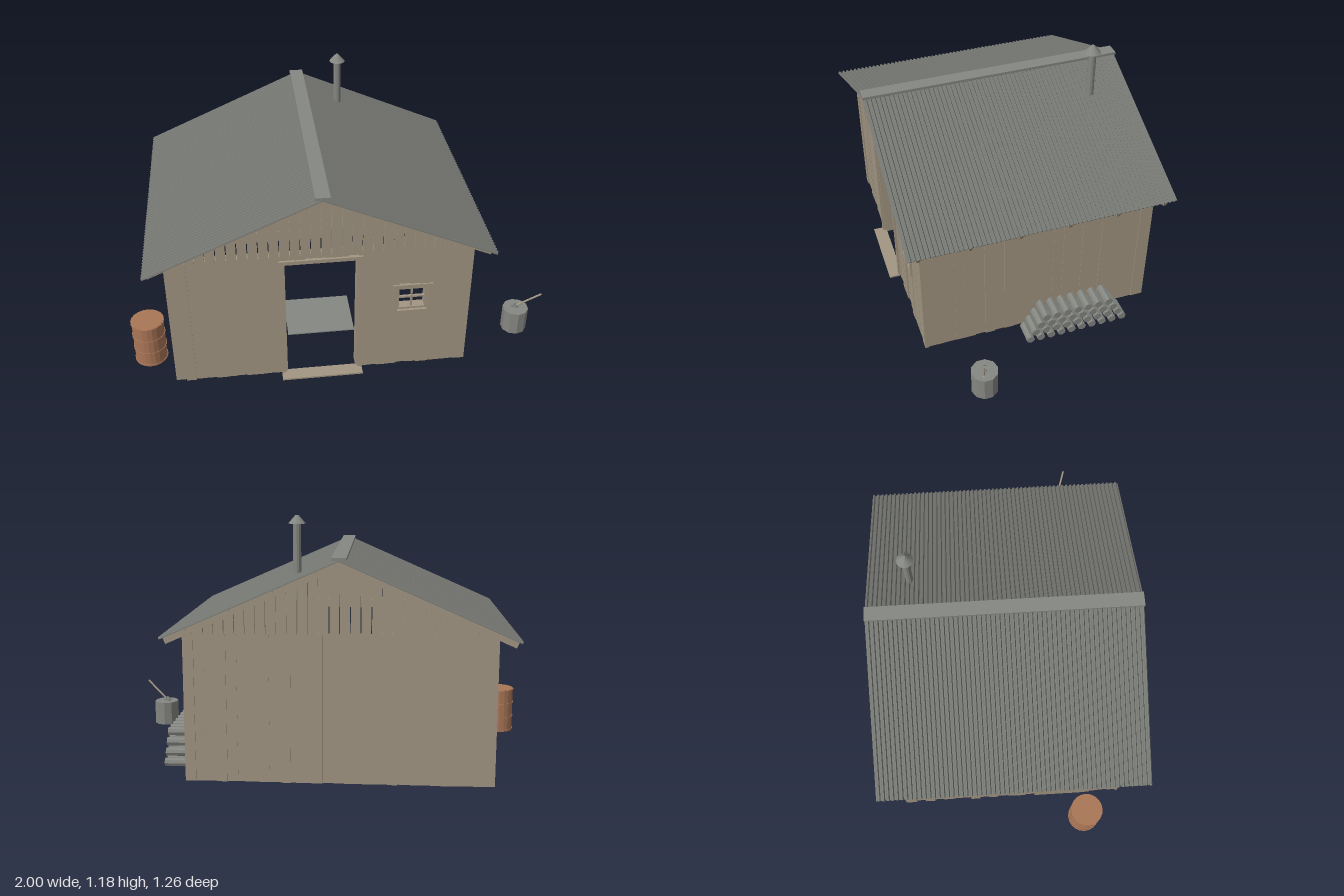
import * as THREE from 'three';

const mat = (name, color) => Object.assign(new THREE.MeshStandardMaterial({ color }), { name });

export function createModel() {
  const wood = mat('weathered wood', 0xa29582);
  const grey = mat('aged grey', 0x858782);
  const metal = mat('corrugated metal', 0x777974);
  const rust = mat('rusty steel', 0xaa7657);

  const root = new THREE.Group();
  root.name = 'cabin';
  let seed = 7;
  const rnd = () => (seed = (seed * 16807) % 2147483647) / 2147483647;

  const group = (name, parent = root) => {
    const g = new THREE.Group();
    g.name = name;
    parent.add(g);
    return g;
  };
  const add = (parent, name, geo, m) => {
    const mesh = new THREE.Mesh(geo, m);
    mesh.name = name;
    parent.add(mesh);
    return mesh;
  };
  // box given by its minimum and maximum corners
  const box = (parent, name, m, x0, x1, y0, y1, z0, z1) => {
    const mesh = add(parent, name, new THREE.BoxGeometry(x1 - x0, y1 - y0, z1 - z0), m);
    mesh.position.set((x0 + x1) / 2, (y0 + y1) / 2, (z0 + z1) / 2);
    return mesh;
  };
  // faceted cylinder standing on y
  const cyl = (parent, name, m, rTop, rBot, y0, y1, x, z, sides) => {
    const geo = new THREE.CylinderGeometry(rTop, rBot, y1 - y0, sides).toNonIndexed();
    geo.computeVertexNormals();
    const mesh = add(parent, name, geo, m);
    mesh.position.set(x, (y0 + y1) / 2, z);
    return mesh;
  };
  // remove rectangular openings from a rectangle [x0, x1, y0, y1]
  const cut = (r, holes) => {
    const h = holes.find((o) => o[0] < r[1] - 1e-4 && o[1] > r[0] + 1e-4 && o[2] < r[3] - 1e-4 && o[3] > r[2] + 1e-4);
    if (!h) return [r];
    const a = Math.max(r[0], h[0]), b = Math.min(r[1], h[1]);
    return [[r[0], a, r[2], r[3]], [b, r[1], r[2], r[3]], [a, b, r[2], h[2]], [a, b, h[3], r[3]]]
      .filter((q) => q[1] - q[0] > 1e-3 && q[3] - q[2] > 1e-3)
      .flatMap((q) => cut(q, holes));
  };

  const CX = -0.108, HX = 0.69, HZ = 0.56, WALL = 0.68, RIDGE = 1.0, SLOPE = 0.44;

  // wall: upright boards outside, level planks inside, frame between; local +z is outward
  const wall = (name, half, depth, angle, holes) => {
    const g = group(name);
    g.position.x = CX;
    g.rotation.y = angle;
    const n = Math.round((2 * half) / 0.047), w = (2 * half) / n;
    for (let i = 0; i < n; i++) {
      const t = 0.004 + rnd() * 0.01;
      for (const r of cut([-half + i * w, -half + (i + 1) * w, 0, WALL], holes))
        box(g, 'outerBoard', wood, ...r, depth - 0.016, depth - 0.012 + t);
    }
    const inner = half - 0.05;
    for (let j = 0; j < 11; j++)
      for (const r of cut([-inner, inner, 0.02 + j * 0.06, 0.072 + j * 0.06], holes))
        box(g, 'innerPlank', wood, ...r, depth - 0.056, depth - 0.046);
    for (const y of [0, 0.64])
      for (const r of cut([-half + 0.012, half - 0.012, y, y + 0.03], holes))
        box(g, 'frameBeam', wood, ...r, depth - 0.046, depth - 0.016);
    box(g, 'cornerPost', wood, half - 0.06, half - 0.02, 0, WALL, depth - 0.06, depth - 0.02);
    return g;
  };
  // four trim strips round an opening
  const frame = (g, name, [x0, x1, y0, y1], t, z0, z1, sill = true) => {
    box(g, name, wood, x0 - t, x0, y0 - (sill ? t : 0), y1 + t, z0, z1);
    box(g, name, wood, x1, x1 + t, y0 - (sill ? t : 0), y1 + t, z0, z1);
    box(g, name, wood, x0, x1, y1, y1 + t, z0, z1);
    if (sill) box(g, name, wood, x0, x1, y0 - t, y0, z0, z1);
  };

  const door = [-0.28 - CX, 0.06 - CX, 0, 0.64];
  const pane = [0.24 - CX, 0.38 - CX, 0.33, 0.455];
  const sideHole = [-0.19, 0.05, 0.285, 0.465];

  // front wall with doorway and small window
  const front = wall('frontWall', HX, HZ, 0, [door, pane]);
  frame(front, 'doorTrim', door, 0.018, HZ - 0.01, HZ + 0.01, false);
  frame(front, 'doorJamb', [door[0] + 0.008, door[1] - 0.008, 0, 0.632], 0.008, HZ - 0.058, HZ, false);
  box(front, 'doorstep', wood, door[0] - 0.02, door[1] + 0.02, 0, 0.008, HZ - 0.01, HZ + 0.055);
  frame(front, 'windowTrim', pane, 0.022, HZ - 0.01, HZ + 0.008);
  frame(front, 'windowSash', [pane[0] + 0.01, pane[1] - 0.01, pane[2] + 0.01, pane[3] - 0.01], 0.01, HZ - 0.05, HZ - 0.005);
  box(front, 'windowBar', wood, 0.306 - CX, 0.314 - CX, pane[2], pane[3], HZ - 0.025, HZ - 0.012);
  box(front, 'windowBar', wood, pane[0], pane[1], 0.389, 0.397, HZ - 0.025, HZ - 0.012);

  wall('backWall', HX, HZ, Math.PI, []);
  wall('leftWall', HZ - 0.012, HX, Math.PI / 2, []);

  // right wall with a boarded-up window
  const right = wall('rightWall', HZ - 0.012, HX, -Math.PI / 2, [sideHole]);
  frame(right, 'windowTrim', sideHole, 0.02, HX - 0.012, HX + 0.008);
  frame(right, 'windowLining', [sideHole[0] + 0.008, sideHole[1] - 0.008, sideHole[2] + 0.008, sideHole[3] - 0.008], 0.008, HX - 0.056, HX - 0.01);
  [[0.435, 0.06], [0.375, -0.42], [0.325, 0.14]].forEach(([y, a], i) => {
    const b = box(right, 'nailedBoard', wood, -0.21, 0.07, y - 0.02, y + 0.02, HX + 0.008, HX + 0.016 + i * 0.002);
    b.rotation.z = a;
  });

  // gable boards cut to the roof line
  for (const side of [1, -1]) {
    const g = group(side > 0 ? 'frontGable' : 'backGable');
    g.position.set(CX, 0, side * 0.555);
    const n = 30, w = (2 * HX) / n;
    const top = (x) => Math.max(WALL + 0.001, RIDGE - 0.004 - SLOPE * Math.abs(x));
    for (let i = 0; i < n; i++) {
      const a = -HX + i * w, b = a + w - 0.004;
      const s = new THREE.Shape([[a, WALL - 0.005], [b, WALL - 0.005], [b, top(b)], [a, top(a)]].map((p) => new THREE.Vector2(...p)));
      const t = 0.012 + rnd() * 0.006;
      const m = add(g, 'gableBoard', new THREE.ExtrudeGeometry(s, { depth: t, bevelEnabled: false }), wood);
      m.position.z = side > 0 ? 0 : -t;
    }
  }

  // roof: two equal slopes of corrugated sheet on rafters and purlins
  const L = 0.775 * Math.hypot(1, SLOPE), waves = 60, p = 1.26 / waves;
  const wavePts = [];
  for (let i = 0; i < waves; i++)
    for (const [f, h] of [[0, 0], [0.3, 0], [0.5, 1], [0.8, 1]]) wavePts.push([-0.63 + (i + f) * p, h * 0.008]);
  wavePts.push([0.63, 0]);
  const sheetShape = new THREE.Shape([
    ...wavePts.map(([x, y]) => new THREE.Vector2(x, y)),
    ...wavePts.reverse().map(([x, y]) => new THREE.Vector2(x, y + 0.003)),
  ]);
  const sheetGeo = new THREE.ExtrudeGeometry(sheetShape, { depth: L, bevelEnabled: false }).rotateY(Math.PI / 2);
  for (const turn of [0, Math.PI]) {
    const half = group(turn ? 'rightRoof' : 'leftRoof');
    half.position.set(CX, RIDGE, 0);
    half.rotation.y = turn;
    const slope = group('slope', half);
    slope.rotation.z = -Math.atan(SLOPE);
    add(slope, 'roofSheet', sheetGeo, metal);
    for (let i = 0; i < 6; i++) {
      const z = -0.578 + i * 0.2312;
      box(slope, 'rafter', wood, 0, L - 0.005, -0.032, -0.001, z - 0.008, z + 0.008);
    }
    for (const x of [0.12, 0.32, 0.53, 0.74])
      box(slope, 'purlin', wood, x - 0.007, x + 0.007, -0.014, -0.001, -0.592, 0.592);
  }
  box(root, 'ridgeCap', grey, CX - 0.033, CX + 0.033, 1.004, 1.017, -0.63, 0.63);

  // stove with its flue
  const stove = group('stove');
  box(stove, 'stoveBody', grey, 0.018, 0.152, 0.015, 0.165, -0.495, -0.365);
  for (const x of [0.03, 0.14]) for (const z of [-0.48, -0.38]) box(stove, 'stoveLeg', grey, x - 0.008, x + 0.008, 0, 0.015, z - 0.008, z + 0.008);
  cyl(stove, 'flue', grey, 0.018, 0.018, 0.165, 1.15, 0.085, -0.43, 12);
  cyl(stove, 'flueCap', grey, 0.007, 0.039, 1.147, 1.184, 0.085, -0.43, 12);

  // shelves on the back wall and a floor mat
  const shelves = group('shelves');
  for (const [y, xs] of [[0.5, [-0.24, -0.185, -0.13, -0.075, -0.013]], [0.385, [-0.24, -0.185, -0.13]]]) {
    box(shelves, 'shelf', wood, -0.4, 0.005, y - 0.01, y, -0.505, -0.42);
    for (const x of [-0.38, -0.005]) box(shelves, 'bracket', wood, x - 0.005, x + 0.005, y - 0.045, y - 0.01, -0.505, -0.44);
    for (const x of xs) cyl(shelves, 'jar', grey, 0.012, 0.012, y, y + 0.03, x, -0.46, 8);
  }
  box(root, 'floorMat', grey, -0.25, 0.083, 0, 0.005, 0.03, 0.3);

  // stacked firewood
  const pile = group('firewood');
  for (let row = 0; row < 4; row++)
    for (let i = 0; i < 10 - row; i++) {
      const log = cyl(pile, 'log', grey, 0.02, 0.02, 0, 0.1, 0, 0, 8);
      log.rotation.z = Math.PI / 2;
      log.position.set(0.665, 0.027 + row * 0.042, 0.08 - row * 0.026 - i * 0.0523);
    }

  // chopping block and axe
  const block = group('choppingBlock');
  cyl(block, 'stump', grey, 0.063, 0.063, 0, 0.122, 0.888, 0.365, 10);
  const from = new THREE.Vector3(0.88, 0.125, 0.362), to = new THREE.Vector3(0.996, 0.225, 0.404);
  const handle = cyl(block, 'axeHandle', wood, 0.005, 0.005, 0, from.distanceTo(to), 0, 0, 6);
  handle.position.copy(from).lerp(to, 0.5);
  handle.quaternion.setFromUnitVectors(new THREE.Vector3(0, 1, 0), to.clone().sub(from).normalize());
  const head = box(block, 'axeHead', grey, 0.868, 0.9, 0.112, 0.138, 0.356, 0.369);
  head.rotation.set(0, -0.35, -0.85);

  // barrel with hoops
  const barrel = group('barrel');
  cyl(barrel, 'barrelBody', rust, 0.076, 0.076, 0, 0.225, -0.921, 0.365, 20);
  for (const y of [0.004, 0.075, 0.148, 0.219]) cyl(barrel, 'barrelHoop', rust, 0.079, 0.079, y - 0.004, y + 0.004, -0.921, 0.365, 20);

  return root;
}
